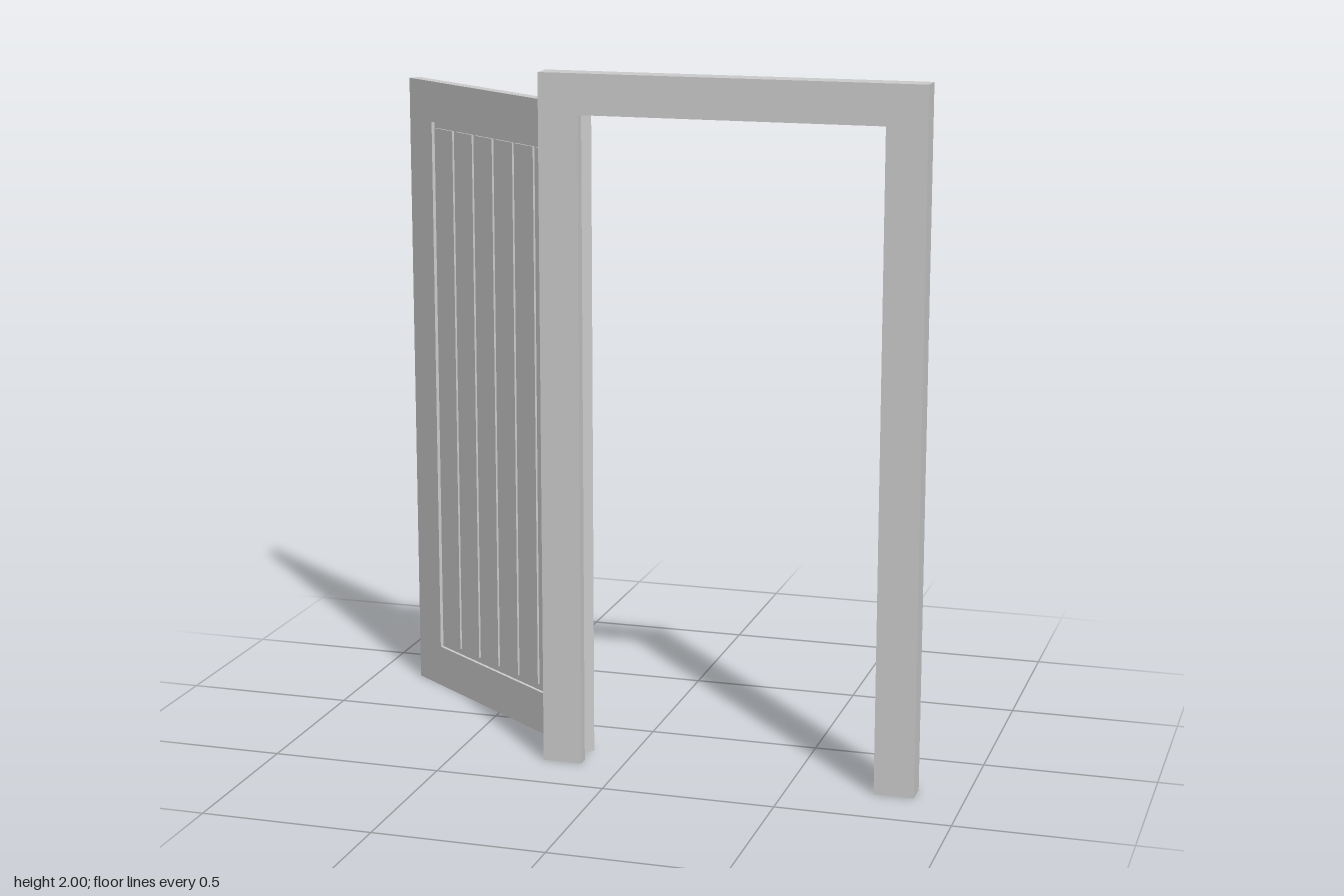
import * as THREE from 'three';

const material = new THREE.MeshStandardMaterial({ color: 0xcccccc, flatShading: true });

// Extrude a polygon in the xy plane from z0 to z1
function slab(name, points, z0, z1, hole) {
  const toVectors = list => list.map(([x, y]) => new THREE.Vector2(x, y));
  const shape = new THREE.Shape(toVectors(points));
  if (hole) shape.holes.push(new THREE.Path(toVectors(hole)));
  const geometry = new THREE.ExtrudeGeometry(shape, { depth: z1 - z0, bevelEnabled: false });
  geometry.translate(0, 0, z0);
  const mesh = new THREE.Mesh(geometry, material);
  mesh.name = name;
  return mesh;
}

const rect = (x0, y0, x1, y1) => [[x0, y0], [x1, y0], [x1, y1], [x0, y1]];

// Mitred frame: a wide stop in front and a narrower rebate behind it for the door
function createFrame() {
  const frame = new THREE.Group();
  frame.name = 'doorFrame';
  const left = 0.86, right = -0.235, top = 2;
  const layers = [
    ['Stop', 0.115, 0.292, 0.325],
    ['Rebate', 0.097, 0.255, 0.292],
  ];
  for (const [label, w, z0, z1] of layers) {
    frame.add(
      slab('rightJamb' + label, [[right, 0], [right + w, 0], [right + w, top - w], [right, top]], z0, z1),
      slab('leftJamb' + label, [[left - w, 0], [left, 0], [left, top], [left - w, top - w]], z0, z1),
      slab('header' + label, [[right + w, top - w], [left - w, top - w], [left, top], [right, top]], z0, z1),
    );
  }
  return frame;
}

// Door leaf with a recessed field of vertical boards on both faces
function createDoor() {
  const door = new THREE.Group();
  door.name = 'door';
  const half = 0.449, height = 1.9, t = 0.0185;
  const px = 0.328, y0 = 0.127, y1 = 1.778;
  door.add(slab('doorSurround', rect(-half, 0, half, height), -t, t, rect(-px, y0, px, y1)));
  door.add(slab('recessedPanel', rect(-px, y0, px, y1), -0.0085, 0.0085));

  const count = 6, gap = 0.015, margin = 0.016;
  const width = (2 * px - 2 * margin - (count - 1) * gap) / count;
  for (let i = 0; i < count; i++) {
    const x = -px + margin + i * (width + gap);
    door.add(slab('verticalBoard', rect(x, y0 + 0.018, x + width, y1 - 0.018), -0.0145, 0.0145));
  }

  // Swung open
  door.position.set(-0.489, 0, -0.045);
  door.rotation.y = -0.64;
  return door;
}

export function createModel() {
  const model = new THREE.Group();
  model.name = 'openDoor';
  model.add(createFrame(), createDoor());
  return model;
}
